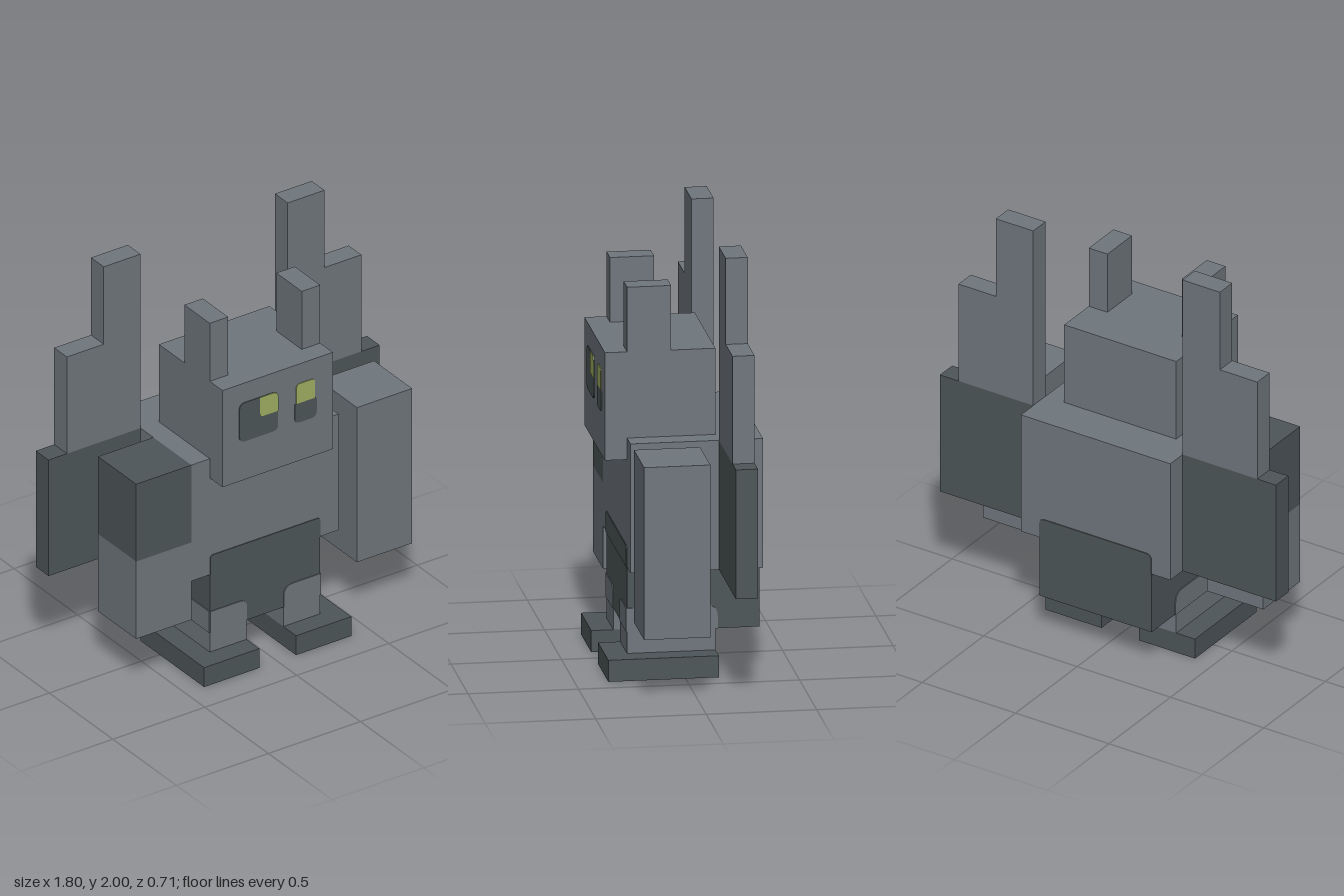
import * as THREE from 'three';

export function createModel() {
  const model = new THREE.Group();
  model.name = 'hornedGuardian';

  const mat = (name, color) => {
    const m = new THREE.MeshStandardMaterial({ color });
    m.name = name;
    return m;
  };
  const stone = mat('stone grey', 0x70777d);
  const dark = mat('dark grey', 0x4e5659);
  const glow = mat('eye green', 0xa0b062);

  const add = (name, geometry, material) => {
    const mesh = new THREE.Mesh(geometry, material);
    mesh.name = name;
    model.add(mesh);
    return mesh;
  };

  // Box given by its extents on each axis
  const box = (name, material, [x0, x1], [y0, y1], [z0, z1]) => {
    const mesh = add(name, new THREE.BoxGeometry(x1 - x0, y1 - y0, z1 - z0), material);
    mesh.position.set((x0 + x1) / 2, (y0 + y1) / 2, (z0 + z1) / 2);
    return mesh;
  };

  // Thin plate with separately rounded corners: bottom left, bottom right, top right, top left
  const T = 0.004;
  const plate = (name, material, [x0, x1], [y0, y1], [bl, br, tr, tl], z) => {
    const s = new THREE.Shape();
    s.moveTo(x0 + bl, y0);
    s.lineTo(x1 - br, y0);
    if (br) s.quadraticCurveTo(x1, y0, x1, y0 + br);
    s.lineTo(x1, y1 - tr);
    if (tr) s.quadraticCurveTo(x1, y1, x1 - tr, y1);
    s.lineTo(x0 + tl, y1);
    if (tl) s.quadraticCurveTo(x0, y1, x0, y1 - tl);
    s.lineTo(x0, y0 + bl);
    if (bl) s.quadraticCurveTo(x0, y0, x0 + bl, y0);
    const mesh = add(name, new THREE.ExtrudeGeometry(s, { depth: T, bevelEnabled: false, curveSegments: 4 }), material);
    mesh.position.z = z;
    return mesh;
  };

  // Both sides' extents from the left (+x) one
  const side = (s, a, b) => (s > 0 ? [a, b] : [-b, -a]);

  // Head, torso and hips
  box('head', stone, [-0.3, 0.3], [1.0, 1.5], [-0.15, 0.35]);
  box('torso', stone, [-0.4, 0.4], [0.5, 1.1], [-0.35, 0.25]);
  box('hips', dark, [-0.3, 0.3], [0.2, 0.5], [-0.35, 0.25]);
  plate('frontBelt', dark, [-0.3, 0.3], [0.5, 0.6], [0, 0, 0.02, 0.02], 0.25);
  plate('backBelt', dark, [-0.3, 0.3], [0.5, 0.6], [0, 0, 0.03, 0.03], -0.35 - T);

  for (const s of [1, -1]) {
    const n = s > 0 ? 'left' : 'right';
    box(n + 'Horn', stone, side(s, 0.2, 0.3), [1.5, 1.8], [0.05, 0.25]);

    // Stepped wings
    box(n + 'WingBase', dark, side(s, 0.4, 0.9), [0.5, 1.1], [-0.25, -0.15]);
    box(n + 'WingInner', stone, side(s, 0.4, 0.6), [1.1, 2.0], [-0.25, -0.15]);
    box(n + 'WingOuter', stone, side(s, 0.6, 0.8), [1.1, 1.6], [-0.25, -0.15]);

    // Legs, with light patches running up over the hips
    box(n + 'Leg', stone, side(s, 0.1, 0.3), [0.1, 0.2], [-0.15, 0.25]);
    const corners = s > 0 ? [0, 0, 0, 0.05] : [0, 0, 0.04, 0];
    plate(n + 'ThighFront', stone, side(s, 0.1, 0.3), [0.2, 0.31], corners, 0.25);
    const thigh = plate(n + 'ThighSide', stone, [-0.16, 0.25], [0.2, 0.31], [0, 0, 0, 0.05], 0);
    thigh.rotation.y = -Math.PI / 2;
    thigh.position.x = s > 0 ? 0.3 + T : -0.3;
    box(n + 'Foot', dark, side(s, 0.1, 0.4), [0, 0.1], [-0.15, 0.35]);
  }

  // Arms: the left hangs free, the right has a dark shoulder
  box('leftArm', stone, [0.5, 0.8], [0.3, 1.1], [-0.05, 0.25]);
  box('rightForearm', stone, [-0.7, -0.4], [0.3, 0.7], [-0.05, 0.25]);
  box('rightShoulder', dark, [-0.7, -0.4], [0.7, 1.1], [-0.05, 0.25]);

  // Uneven eyes
  const r = 0.03;
  plate('rightEyeSocket', dark, [-0.21, 0], [1.2, 1.4], [r, r, r, r], 0.35);
  plate('rightEye', glow, [-0.1, 0], [1.3, 1.4], [0.02, 0, r, 0], 0.35 + T / 2);
  plate('leftEyeSocket', dark, [0.09, 0.21], [1.2, 1.3], [r, r, 0.01, 0.01], 0.35);
  plate('leftEye', glow, [0.1, 0.2], [1.3, 1.4], [0, 0, 0.02, 0.02], 0.35);

  return model;
}
